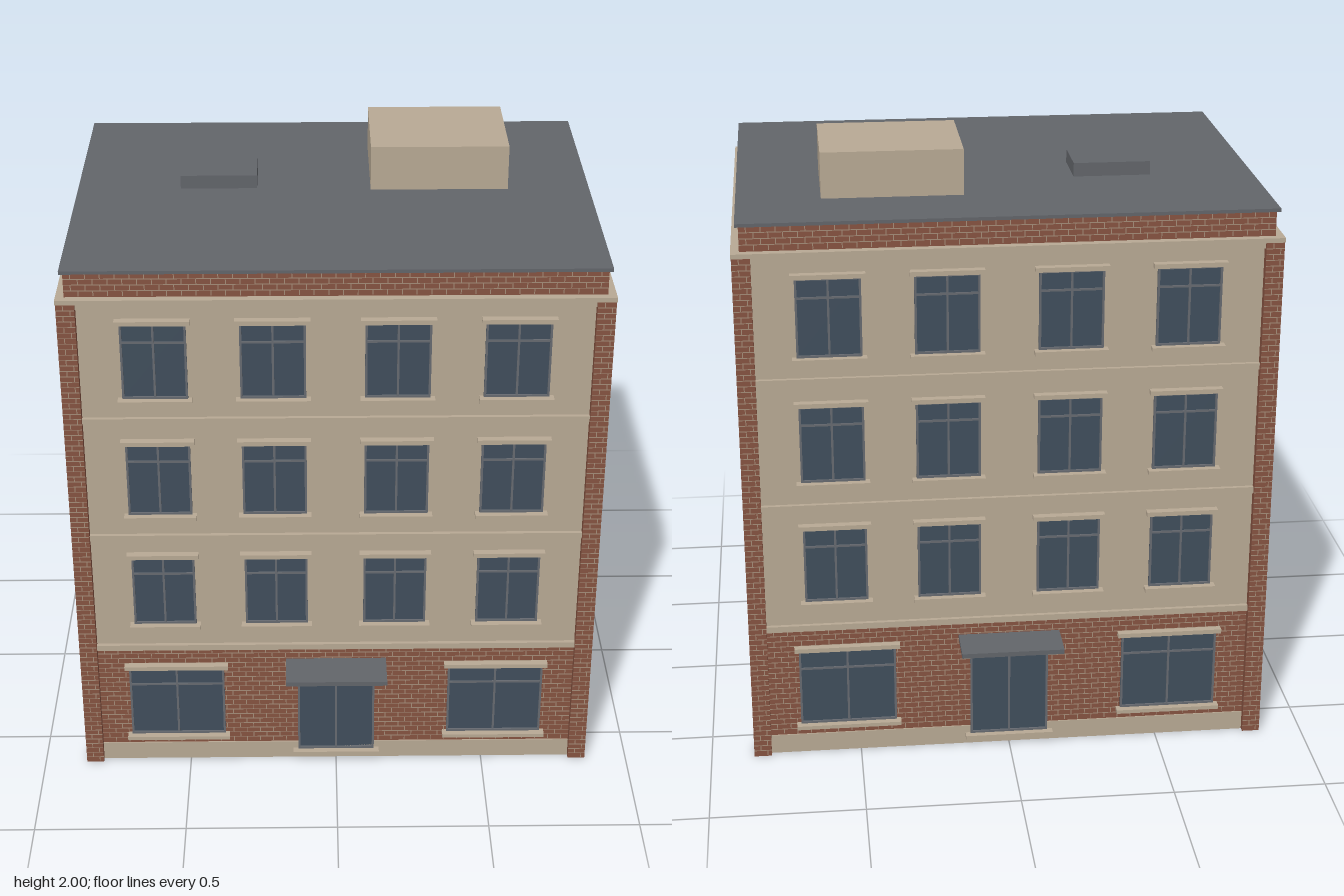
import * as THREE from 'three';
import { mergeGeometries } from 'three/addons/utils/BufferGeometryUtils.js';

const material = (name, color) => {
  const m = new THREE.MeshStandardMaterial({ color });
  m.name = name;
  return m;
};

export function createModel() {
  const stone = material('stone', 0xb8a994);
  const brick = material('brick', 0x865341);
  const mortar = material('mortar', 0xa58d78);
  const slate = material('slate', 0x62656a);
  const glass = material('glass', 0x404e5c);
  const frame = material('window frame', 0x666a70);

  const HX = 0.858, HZ = 0.645;      // outer half sizes at the corner pillars
  const INSET = 0.025;               // wall set back from the pillars
  const PILLAR = 0.058;
  const WX = HX - INSET, WZ = HZ - INSET;

  // Box given by its limits on each axis
  function box(parent, name, mat, x0, x1, y0, y1, z0, z1) {
    const mesh = new THREE.Mesh(new THREE.BoxGeometry(x1 - x0, y1 - y0, z1 - z0), mat);
    mesh.position.set((x0 + x1) / 2, (y0 + y1) / 2, (z0 + z1) / 2);
    mesh.name = name;
    parent.add(mesh);
    return mesh;
  }

  // Staggered mortar joints over a rectangle facing +z
  function joints(list, x0, x1, y0, y1, z) {
    const pitch = 0.019, length = 0.045, t = 0.003;
    const plate = (cx, cy, w, h) => list.push(new THREE.PlaneGeometry(w, h).translate(cx, cy, z));
    const rows = Math.round((y1 - y0) / pitch), step = (y1 - y0) / rows;
    for (let r = 0; r < rows; r++) {
      const y = y0 + r * step;
      if (r > 0) plate((x0 + x1) / 2, y, x1 - x0, t);
      for (let x = x0 + (r % 2 ? length / 2 : length); x < x1 - t; x += length) {
        plate(x, y + step / 2, t, step - t);
      }
    }
  }

  // Glazed opening with frame, centre mullion and transom
  function glazing(parent, name, cx, w, y0, y1, transom, z) {
    const g = new THREE.Group();
    g.name = name;
    const x0 = cx - w / 2, x1 = cx + w / 2, f = 0.007, zf = z + 0.01;
    box(g, 'glass', glass, x0, x1, y0, y1, z - 0.002, z + 0.004);
    box(g, 'frameLeft', frame, x0, x0 + f, y0, y1, z, zf);
    box(g, 'frameRight', frame, x1 - f, x1, y0, y1, z, zf);
    box(g, 'frameTop', frame, x0 + f, x1 - f, y1 - f, y1, z, zf);
    box(g, 'frameBottom', frame, x0 + f, x1 - f, y0, y0 + f, z, zf);
    box(g, 'mullion', frame, cx - f / 2, cx + f / 2, y0 + f, y1 - f, z, zf - 0.001);
    box(g, 'transom', frame, x0 + f, x1 - f, transom - f / 2, transom + f / 2, z, zf - 0.002);
    parent.add(g);
    return g;
  }

  function window_(parent, cx, w, y0, y1, z) {
    const g = glazing(parent, 'window', cx, w, y0, y1, y1 - (y1 - y0) * 0.25, z);
    const s = w / 2 + 0.014;
    box(g, 'lintel', stone, cx - s, cx + s, y1, y1 + 0.015, z - 0.01, z + 0.025);
    box(g, 'sill', stone, cx - s, cx + s, y0 - 0.013, y0, z - 0.01, z + 0.031);
  }

  // One side of the building, facing +z before it is turned
  function facade(name, half, depth, angle, columns, paneWidth, entrance) {
    const g = new THREE.Group();
    g.name = name;
    const z = depth - INSET, inner = half - PILLAR;

    // Upper windows and string courses
    for (let floor = 0; floor < 3; floor++) {
      const y = 0.563 + floor * 0.424;
      for (const cx of columns) window_(g, cx, paneWidth, y, y + 0.26, z);
      box(g, 'stringCourse', stone, -inner, inner, 0.456 + floor * 0.432, 0.477 + floor * 0.432, z - 0.01, z + 0.013);
    }
    box(g, 'cornice', stone, -inner, inner, 1.724, 1.747, z - 0.01, z + 0.015);

    // Ground floor openings
    if (entrance) {
      for (const cx of [-0.538, 0.538]) window_(g, cx, 0.32, 0.11, 0.382, z);
      const door = glazing(g, 'entranceDoor', 0, 0.26, 0.04, 0.382, 0.335, z);
      box(door, 'doorstep', stone, -0.147, 0.147, 0.025, 0.04, z - 0.01, z + 0.03);
      box(g, 'canopy', slate, -0.168, 0.168, 0.395, 0.411, z - 0.01, 0.757);
    } else {
      for (const cx of columns) window_(g, cx, paneWidth, 0.12, 0.375, z);
    }

    // Brick joints on the ground floor, parapet and pillars
    const list = [];
    joints(list, -inner, inner, 0.068, 0.455, z + 0.0012);
    joints(list, -half + INSET, half - INSET, 1.762, 1.84, z + 0.0012);
    for (const s of [-1, 1]) {
      const c = s * (half - PILLAR / 2);
      joints(list, c - PILLAR / 2, c + PILLAR / 2, 0.005, 1.745, depth + 0.0012);
    }
    const mesh = new THREE.Mesh(mergeGeometries(list), mortar);
    mesh.name = 'mortarJoints';
    g.add(mesh);

    g.rotation.y = angle;
    model.add(g);
  }

  const model = new THREE.Group();
  model.name = 'apartmentBuilding';

  // Stacked wall volumes
  box(model, 'plinth', stone, -WX - 0.004, WX + 0.004, 0, 0.066, -WZ - 0.004, WZ + 0.004);
  box(model, 'groundFloorWalls', brick, -WX, WX, 0.066, 0.456, -WZ, WZ);
  box(model, 'upperWalls', stone, -WX, WX, 0.456, 1.746, -WZ, WZ);
  box(model, 'corniceSlab', stone, -HX - 0.002, HX + 0.002, 1.745, 1.76, -HZ - 0.002, HZ + 0.002);
  box(model, 'parapet', brick, -WX, WX, 1.76, 1.841, -WZ, WZ);
  box(model, 'roof', slate, -0.844, 0.844, 1.84, 1.851, -0.63, 0.63);

  // Corner pillars
  for (const sx of [-1, 1]) for (const sz of [-1, 1]) {
    const p = box(model, 'cornerPillar', brick, 0, PILLAR, 0.002, 1.745, 0, PILLAR);
    p.position.x = sx * (HX - PILLAR / 2);
    p.position.z = sz * (HZ - PILLAR / 2);
  }

  // Roof structures
  box(model, 'stairHouse', stone, 0.122, 0.575, 1.85, 2, -0.378, -0.003);
  box(model, 'roofHatch', slate, -0.505, -0.253, 1.85, 1.896, -0.2, -0.02);

  // Four sides
  const wide = [-0.567, -0.197, 0.193, 0.566], narrow = [-0.297, 0.297];
  facade('frontSide', HX, HZ, 0, wide, 0.206, true);
  facade('backSide', HX, HZ, Math.PI, wide, 0.206, true);
  facade('leftSide', HZ, HX, Math.PI / 2, narrow, 0.2, false);
  facade('rightSide', HZ, HX, -Math.PI / 2, narrow, 0.2, false);

  return model;
}
